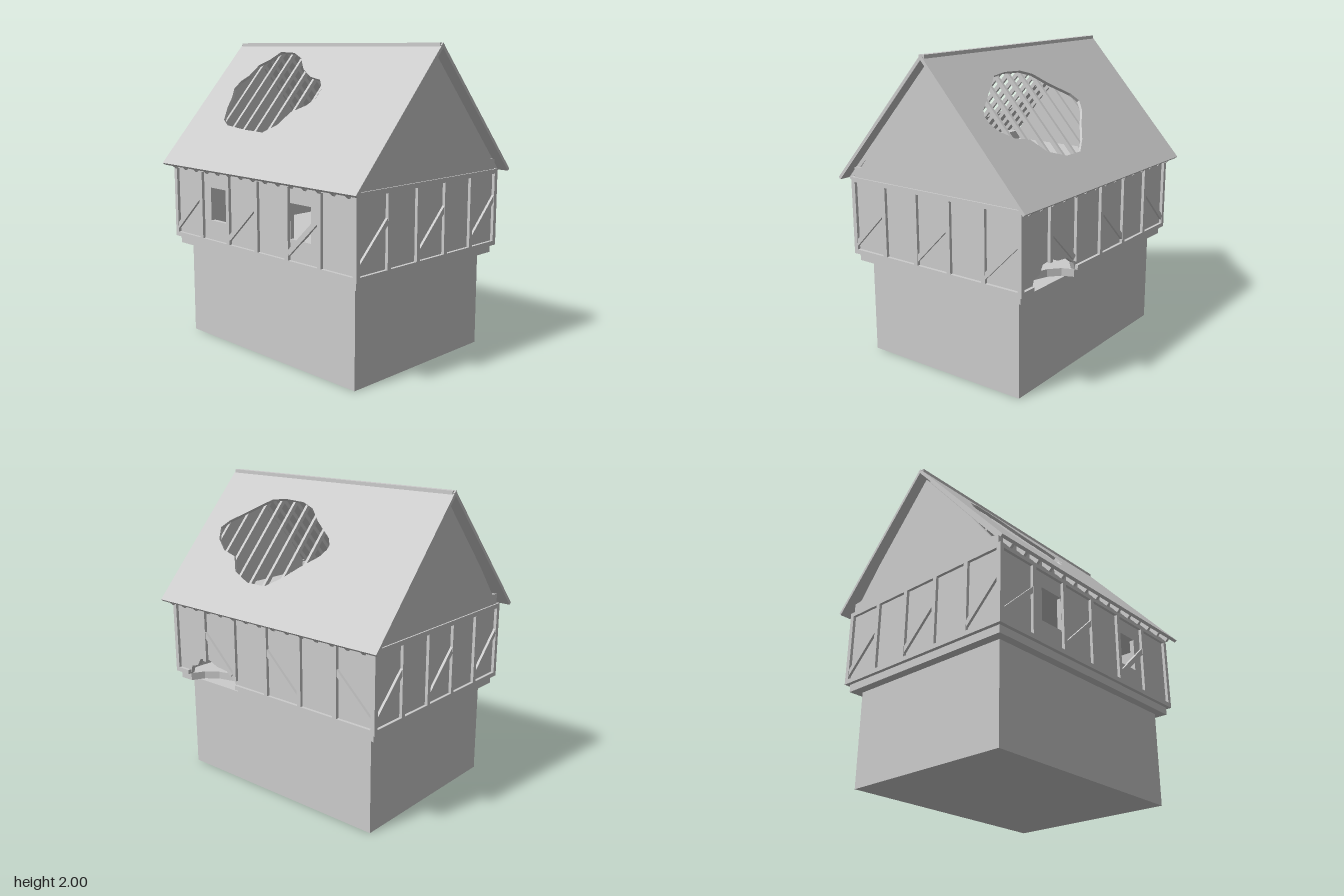
import * as THREE from 'three';

const grey = new THREE.MeshStandardMaterial({ color: 0xcccccc });
grey.name = 'plain grey';

const points = (list) => list.map(([x, y]) => new THREE.Vector2(x, y));

function add(parent, name, geometry, x = 0, y = 0, z = 0) {
  const mesh = new THREE.Mesh(geometry, grey);
  mesh.name = name;
  mesh.position.set(x, y, z);
  parent.add(mesh);
  return mesh;
}

// box given by its limits
function block(parent, name, x0, x1, y0, y1, z0, z1) {
  return add(parent, name, new THREE.BoxGeometry(x1 - x0, y1 - y0, z1 - z0),
    (x0 + x1) / 2, (y0 + y1) / 2, (z0 + z1) / 2);
}

// flat plate from an outline with holes
function plate(outline, holes, depth) {
  const shape = new THREE.Shape(points(outline));
  holes.forEach((h) => shape.holes.push(new THREE.Path(points(h))));
  return new THREE.ExtrudeGeometry(shape, { depth, bevelEnabled: false });
}

const Y0 = 0.68, Y1 = 1.19, BEAM = 0.03;

// one timber-framed wall facing +z, later turned into place
function framedWall(name, half, dist, panels, braced, { flip = false, holes = [], broken = false } = {}) {
  const g = new THREE.Group();
  g.name = name;
  const w = half - 0.02;
  const outline = [[-w, Y0]];
  if (broken) {
    outline.push([-0.74, Y0], [-0.72, 0.74], [-0.66, 0.76], [-0.63, 0.81], [-0.54, 0.82],
      [-0.47, 0.79], [-0.37, 0.78], [-0.3, 0.73], [-0.28, Y0]);
  }
  outline.push([w, Y0], [w, Y1 - 0.01], [-w, Y1 - 0.01]);
  add(g, 'infillWall', plate(outline, holes, 0.03), 0, 0, dist - 0.05);

  const z0 = dist - 0.025;
  block(g, 'topBeam', -half, half, Y1 - BEAM, Y1, z0, dist);
  const runs = broken ? [[-half, -0.74], [-0.28, half]] : [[-half, half]];
  runs.forEach(([a, b]) => block(g, 'sillBeam', a, b, Y0, Y0 + BEAM, z0, dist));

  const step = (2 * half - BEAM) / panels;
  for (let i = 0; i <= panels; i++) {
    const x = -half + BEAM / 2 + i * step;
    const bottom = broken && x > -0.74 && x < -0.28 ? (x < -0.4 ? 0.81 : 0.74) : Y0;
    block(g, 'post', x - BEAM / 2, x + BEAM / 2, bottom, Y1, z0, dist);
  }
  braced.forEach((i) => {
    const xc = -half + BEAM / 2 + (i + 0.5) * step;
    const rise = 0.265;
    const cut = broken && i === 1 ? 0.04 : 0; // brace shortened by the breach
    const brace = add(g, 'brace',
      new THREE.BoxGeometry(Math.hypot(step, rise) - cut, 0.032, 0.022),
      xc - cut * 0.35, 0.875 + cut * 0.35, dist - 0.014);
    brace.rotation.z = Math.atan2(rise, step) * (flip ? -1 : 1);
  });
  return g;
}

const RUN = 0.73, DROP = 0.81, SLOPE = Math.hypot(RUN, DROP);

// one roof slope facing +z; hole points are x and distance down the slope
function roofSlope(name, hole) {
  const g = new THREE.Group();
  g.name = name;
  const tilt = new THREE.Group();
  tilt.position.y = 2;
  tilt.rotation.x = -Math.atan2(RUN, DROP);
  g.add(tilt);
  const outline = [[-0.915, -SLOPE], [0.915, -SLOPE], [0.915, 0], [-0.915, 0]];
  add(tilt, 'roofCovering', plate(outline, [hole], 0.02), 0, 0, -0.02);
  return [g, tilt];
}

export function createModel() {
  const model = new THREE.Group();
  model.name = 'ruinedHouse';

  // ground floor and the jetty slab, broken at the back
  block(model, 'groundFloor', -0.78, 0.78, 0, 0.63, -0.59, 0.59);
  const slab = plate([[-0.84, -0.645], [0.84, -0.645], [0.84, 0.645], [0.74, 0.645], [0.7, 0.56],
    [0.62, 0.5], [0.5, 0.47], [0.38, 0.51], [0.31, 0.57], [0.28, 0.645], [-0.84, 0.645]], [], 0.05);
  slab.rotateX(-Math.PI / 2);
  add(model, 'jettySlab', slab, 0, 0.63, 0);

  // timber-framed upper floor
  const opening = (x) => [[x, 0.84], [x + 0.18, 0.84], [x + 0.18, 1.06], [x, 1.06]];
  model.add(framedWall('frontWall', 0.865, 0.67, 6, [0, 2, 4], { holes: [opening(-0.48), opening(0.3)] }));
  const back = framedWall('backWall', 0.865, 0.67, 6, [1, 3, 5], { flip: true, broken: true });
  back.rotation.y = Math.PI;
  model.add(back);
  for (const side of [1, -1]) {
    const wall = framedWall(side > 0 ? 'leftWall' : 'rightWall', 0.67, 0.865, 5, [0, 2, 4]);
    wall.rotation.y = side * Math.PI / 2;
    model.add(wall);
  }

  // attic floor, wall plates and gables
  block(model, 'atticFloor', -0.85, 0.85, 1.16, 1.185, -0.65, 0.65);
  for (const side of [1, -1]) {
    block(model, 'wallPlate', -0.85, 0.85, 1.18, 1.25, side * 0.612 - 0.032, side * 0.612 + 0.032);
    const gable = plate([[-0.645, 1.18], [0.645, 1.18], [0.645, 1.255], [0.585, 1.26], [0.42, 1.47],
      [0, 1.95], [-0.42, 1.47], [-0.585, 1.26], [-0.645, 1.255]], [], 0.03);
    const mesh = add(model, 'gable', gable, side * 0.825, 0, 0);
    mesh.rotation.y = side * Math.PI / 2;
  }

  // roof slopes with ragged holes
  const frontHole = [[-0.68, 1.69], [-0.66, 1.74], [-0.61, 1.78], [-0.58, 1.85], [-0.5, 1.89],
    [-0.44, 1.94], [-0.3, 1.935], [-0.2, 1.9], [-0.11, 1.83], [0, 1.785], [0.1, 1.77], [0.165, 1.72],
    [0.165, 1.66], [0.12, 1.615], [0.02, 1.57], [-0.03, 1.49], [-0.12, 1.44], [-0.3, 1.445],
    [-0.5, 1.46], [-0.57, 1.49], [-0.62, 1.57], [-0.64, 1.63]]
    .map(([x, y]) => [x, (y - 2) * SLOPE / DROP]);
  const backHole = [[-0.24, 0.33], [-0.2, 0.38], [-0.1, 0.44], [0, 0.51], [0.1, 0.56], [0.25, 0.56],
    [0.4, 0.52], [0.48, 0.45], [0.6, 0.43], [0.7, 0.38], [0.745, 0.32], [0.7, 0.28], [0.6, 0.23],
    [0.5, 0.18], [0.42, 0.14], [0.3, 0.13], [0.15, 0.135], [0.05, 0.16], [-0.05, 0.22], [-0.2, 0.29]]
    .map(([x, z]) => [-x, -z * SLOPE / RUN]);

  [['frontRoof', frontHole, 1], ['backRoof', backHole, -1]].forEach(([name, hole, side]) => {
    const [slope, tilt] = roofSlope(name, hole);
    if (side < 0) slope.rotation.y = Math.PI;
    for (let i = 0; i < 15; i++) {
      add(tilt, 'rafter', new THREE.BoxGeometry(0.02, SLOPE - 0.03, 0.027),
        side * (-0.806 + i * 0.1168), -SLOPE / 2 - 0.015, -0.0325);
    }
    model.add(slope);
  });
  block(model, 'ridgeBoard', -0.905, 0.905, 1.975, 2, -0.02, 0.02);

  return model;
}
